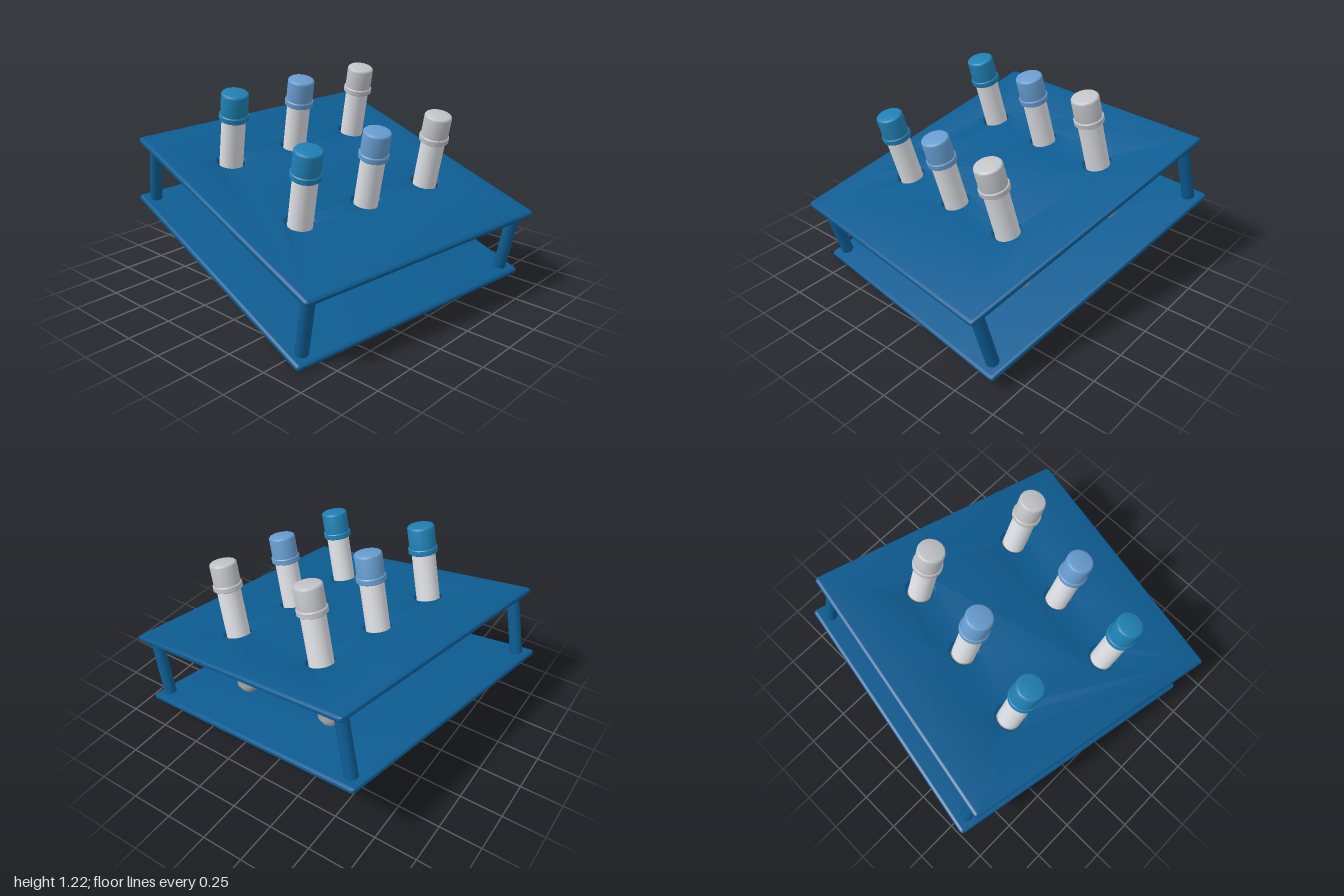
import * as THREE from 'three';
import { toCreasedNormals } from 'three/addons/utils/BufferGeometryUtils.js';

const mat = (name, color) => {
  const m = new THREE.MeshStandardMaterial({ color });
  m.name = name;
  return m;
};

const WIDTH = 1.59, DEPTH = 1.705, THICK = 0.036;
const LEVEL = 0.2015; // plate centres above and below the middle of the rack
const COLUMNS = [-0.445, 0, 0.445];
const ROWS = [-0.375, 0.315];

// Flat plate with rounded rim and optional round holes at [x, z]
function plateGeometry(holes) {
  const b = THICK / 2 - 0.001, r = 0.004;
  const x = WIDTH / 2 - b, y = DEPTH / 2 - b;
  const shape = new THREE.Shape();
  shape.absarc(x - r, y - r, r, 0, Math.PI / 2);
  shape.absarc(-x + r, y - r, r, Math.PI / 2, Math.PI);
  shape.absarc(-x + r, -y + r, r, Math.PI, Math.PI * 1.5);
  shape.absarc(x - r, -y + r, r, Math.PI * 1.5, Math.PI * 2);
  shape.closePath();
  for (const [hx, hz] of holes) {
    const hole = new THREE.Path();
    hole.absarc(hx, -hz, 0.077 + b, 0, Math.PI * 2, true);
    shape.holes.push(hole);
  }
  const depth = THICK - 2 * b;
  const g = new THREE.ExtrudeGeometry(shape, {
    depth, bevelEnabled: true, bevelSize: b, bevelThickness: b, bevelSegments: 5, curveSegments: 16,
  });
  g.translate(0, 0, -depth / 2);
  g.rotateX(-Math.PI / 2);
  return toCreasedNormals(g, 0.7);
}

// Turned part from [radius, height] points, bottom to top
const lathe = (pts) =>
  toCreasedNormals(new THREE.LatheGeometry(pts.map(([r, y]) => new THREE.Vector2(r, y)), 40), 0.6);

export function createModel() {
  const plateBlue = mat('plate blue', 0x0d5c92);
  const tubeWhite = mat('tube white', 0xe2e4e9);
  const tubeGrey = mat('tube grey', 0xa3a3a5);
  const capColours = [mat('cap teal', 0x1f80b3), mat('cap light blue', 0x689ccf), mat('cap grey', 0xc2c4c8)];

  const rack = new THREE.Group();
  rack.name = 'rack';
  const add = (parent, name, geometry, material, x = 0, y = 0, z = 0) => {
    const mesh = new THREE.Mesh(geometry, material);
    mesh.name = name;
    mesh.position.set(x, y, z);
    parent.add(mesh);
  };

  // Plates
  const spots = ROWS.flatMap((z) => COLUMNS.map((x) => [x, z]));
  add(rack, 'topPlate', plateGeometry(spots), plateBlue, 0, LEVEL, 0);
  add(rack, 'bottomPlate', plateGeometry([]), plateBlue, 0, -LEVEL, 0);

  // Corner pillars, their ends just showing under the base
  const pillar = new THREE.CylinderGeometry(0.036, 0.036, 0.424, 32);
  for (const sx of [-1, 1])
    for (const sz of [-1, 1])
      add(rack, 'pillar', pillar, plateBlue, sx * (WIDTH / 2 - 0.077), -0.011, sz * (DEPTH / 2 - 0.077));

  // Tubes with a rounded bottom and a flanged cap
  const R = 0.068;
  const dome = [];
  for (let i = 0; i <= 8; i++) {
    const a = (i / 8) * Math.PI / 2;
    dome.push([0.06 * Math.sin(a), -0.122 - 0.058 * Math.cos(a)]);
  }
  const lower = lathe([...dome, [R, -0.122], [R, 0.2]]);
  const upper = lathe([[R, 0.2], [R, 0.5]]);
  const cap = lathe([
    [0, 0.492], [0.08, 0.492], [0.084, 0.496], [0.084, 0.522], [0.08, 0.527], [0.077, 0.527],
    [0.077, 0.64], [0.0755, 0.646], [0.071, 0.651], [0.065, 0.653], [0, 0.653],
  ]);
  for (const z of ROWS)
    COLUMNS.forEach((x, i) => {
      const tube = new THREE.Group();
      tube.name = 'tube';
      tube.position.set(x, 0, z);
      add(tube, 'tubeLower', lower, tubeGrey);
      add(tube, 'tubeUpper', upper, tubeWhite);
      add(tube, 'cap', cap, capColours[i]);
      rack.add(tube);
    });

  // Tilt of the whole rack
  const right = new THREE.Vector3(0.983, 0.05, 0.176).normalize();
  const up = new THREE.Vector3(-0.155, -0.248, 0.956).cross(right).normalize();
  const front = right.clone().cross(up);
  rack.quaternion.setFromRotationMatrix(new THREE.Matrix4().makeBasis(right, up, front));
  rack.position.y = 0.4575;

  const model = new THREE.Group();
  model.name = 'testTubeRack';
  model.add(rack);
  return model;
}
